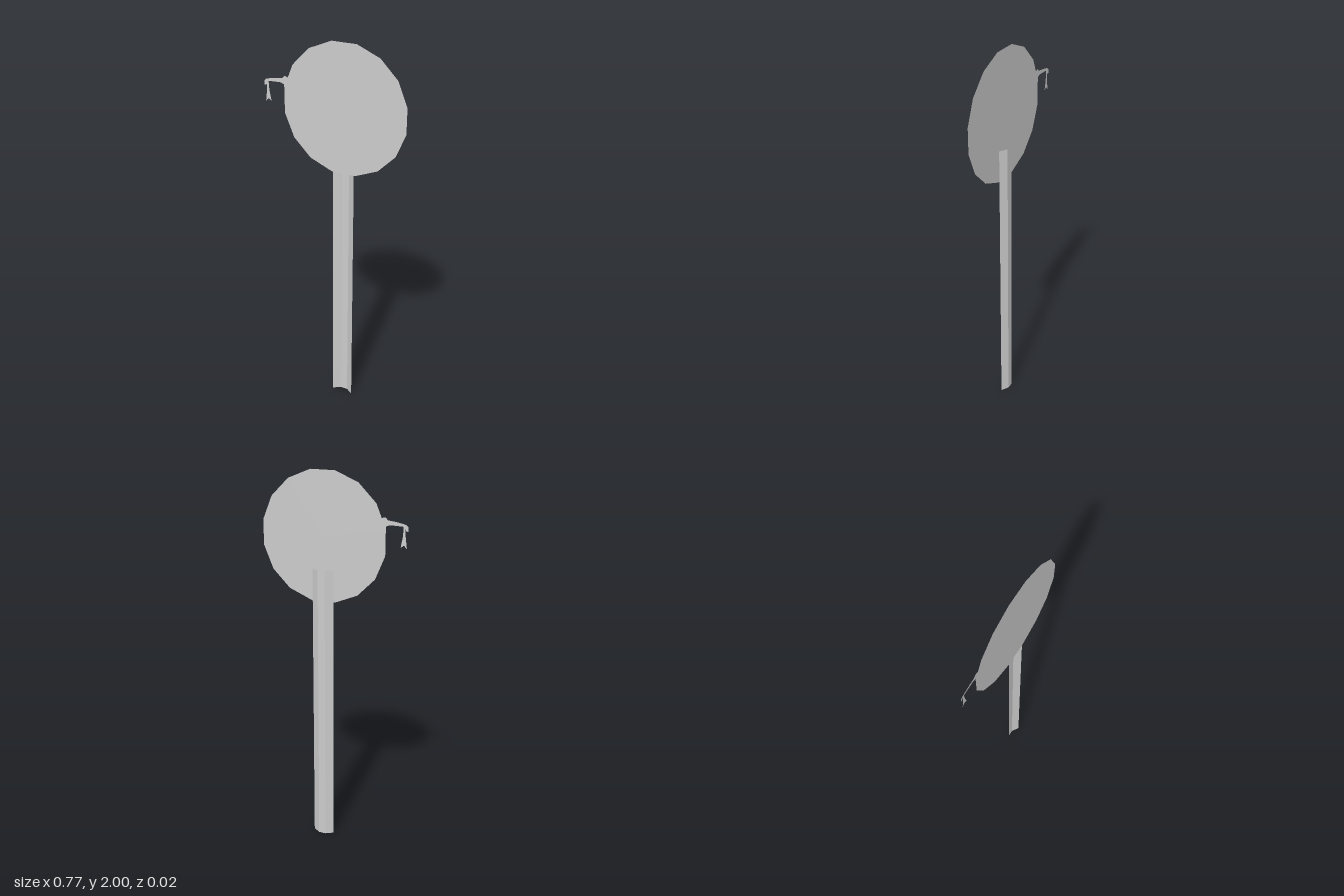
import * as THREE from 'three';

export function createModel() {
  const model = new THREE.Group();
  const material = new THREE.MeshStandardMaterial({
    color: 0xcccccc, flatShading: true, side: THREE.DoubleSide,
  });
  const frontZ = 0.012;
  const centreX = 0.057;

  const add = (name, geometry, x = 0, y = 0, z = 0) => {
    const mesh = new THREE.Mesh(geometry, material);
    mesh.name = name;
    mesh.position.set(x, y, z);
    model.add(mesh);
    return mesh;
  };

  // Thin sixteen-sided plate with a flat edge on top
  const sides = 16;
  const apothem = 0.327;
  add('signPlate',
    new THREE.CircleGeometry(apothem / Math.cos(Math.PI / sides), sides, Math.PI / sides),
    centreX, 2 - apothem, frontZ);

  // Open channel post: three panels folded from a strip, hollow to the front
  const post = new THREE.PlaneGeometry(0.115, 1.51, 3, 1);
  const foldX = [-0.0575, -0.019, 0.019, 0.0575];
  const foldZ = [frontZ, -frontZ, -frontZ, frontZ];
  const position = post.attributes.position;
  for (let i = 0; i < position.count; i++) {
    position.setX(i, foldX[i % 4]);
    position.setZ(i, foldZ[i % 4]);
  }
  post.computeVertexNormals();
  add('channelPost', post, centreX, 0.755, 0);

  // Flat cut-outs: a curved arm and the forked tail hanging from it
  const cutOut = (points) =>
    new THREE.ShapeGeometry(new THREE.Shape(points.map(([x, y]) => new THREE.Vector2(x, y))));

  add('hookArm', cutOut([
    [-0.248, 1.79], [-0.256, 1.793], [-0.268, 1.796], [-0.28, 1.782], [-0.32, 1.778],
    [-0.37, 1.768], [-0.383, 1.758], [-0.383, 1.735], [-0.371, 1.737], [-0.368, 1.75],
    [-0.355, 1.758], [-0.29, 1.76], [-0.27, 1.752], [-0.27, 1.738],
  ]), 0, 0, frontZ);

  add('forkedTail', cutOut([
    [-0.368, 1.752], [-0.37, 1.71], [-0.378, 1.652], [-0.363, 1.668],
    [-0.346, 1.657], [-0.356, 1.71], [-0.359, 1.757],
  ]), 0, 0, frontZ);

  return model;
}
